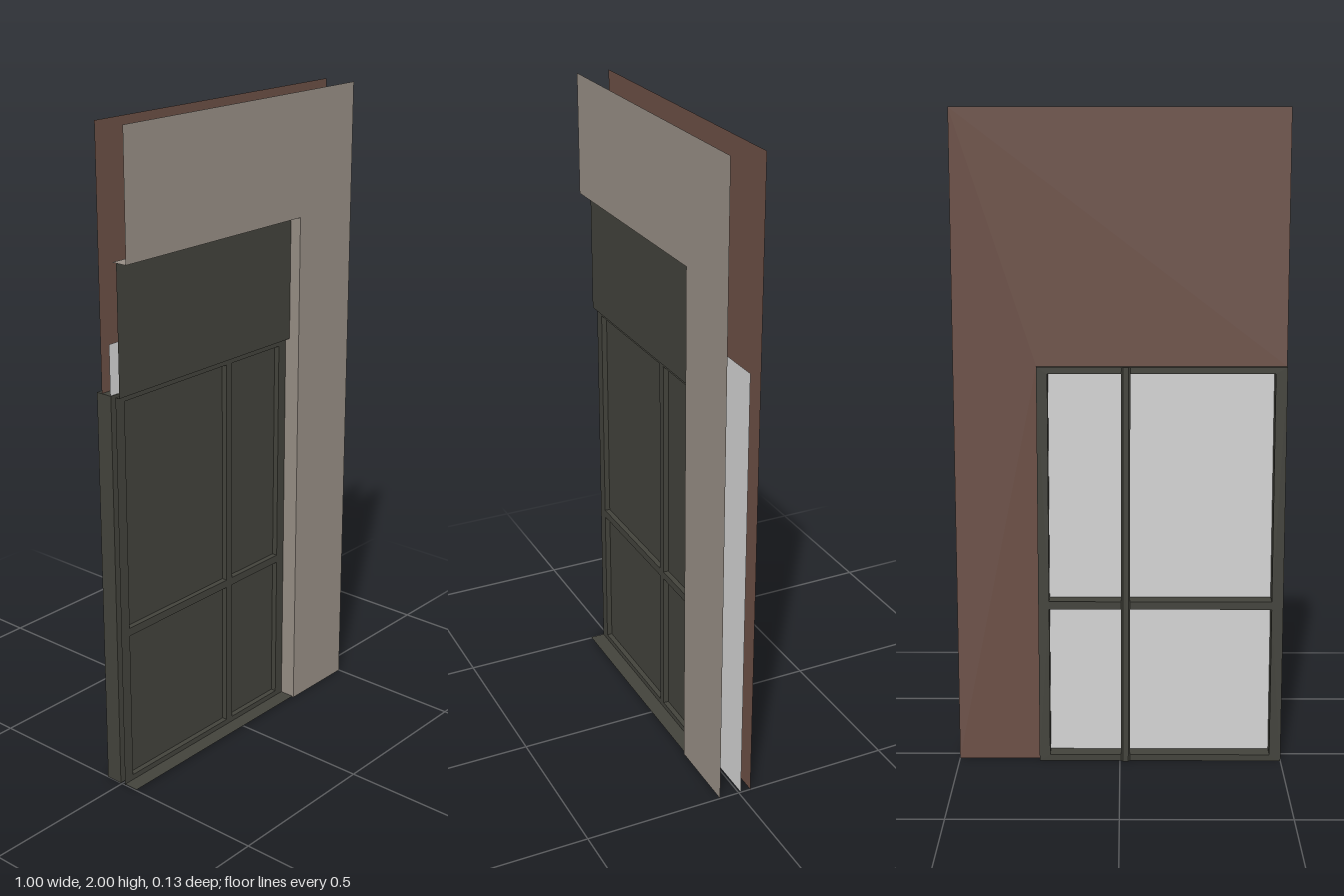
import * as THREE from 'three';

const material = (name, color) =>
  new THREE.MeshStandardMaterial({ name, color, side: THREE.DoubleSide });

// Main extents of the bay and its openings
const LEFT = -0.5, RIGHT = 0.25, HEAD = 1.625, TOP = 1.24;
const Z_WALL = 0.064, Z_FRAME = 0.013, Z_PANE = -0.004, Z_BACK = -0.059;
const COLUMNS = [[-0.465, -0.03], [-0.005, 0.217]];
const ROWS = [[0.02, 0.49], [0.515, 1.22]];

function rectPath(target, x0, x1, y0, y1) {
  target.moveTo(x0, y0);
  target.lineTo(x1, y0);
  target.lineTo(x1, y1);
  target.lineTo(x0, y1);
  target.closePath();
  return target;
}

// Frame outline with four window openings
function frameShape() {
  const shape = rectPath(new THREE.Shape(), LEFT, RIGHT, 0, TOP);
  for (const [x0, x1] of COLUMNS)
    for (const [y0, y1] of ROWS)
      shape.holes.push(rectPath(new THREE.Path(), x0, x1, y0, y1));
  return shape;
}

// Wall sheet with a corner opening reaching the left edge
function wallShape(openingTop) {
  const pts = [[RIGHT, 0], [0.5, 0], [0.5, 2], [LEFT, 2], [LEFT, openingTop], [RIGHT, openingTop]];
  return new THREE.Shape(pts.map(([x, y]) => new THREE.Vector2(x, y)));
}

export function createModel() {
  const group = new THREE.Group();
  group.name = 'wallBayWithWindow';

  const stone = material('warm grey wall', 0x968d84);
  const dark = material('dark frame', 0x42423b);
  const brown = material('brown inner wall', 0x6a4e44);
  const pale = material('pale blind', 0xd2d2d2);

  const add = (name, geometry, mat, x = 0, y = 0, z = 0) => {
    const mesh = new THREE.Mesh(geometry, mat);
    mesh.name = name;
    mesh.position.set(x, y, z);
    group.add(mesh);
    return mesh;
  };
  // Flat sheets facing z, x and y
  const sheetZ = (name, mat, x0, x1, y0, y1, z) =>
    add(name, new THREE.PlaneGeometry(x1 - x0, y1 - y0), mat, (x0 + x1) / 2, (y0 + y1) / 2, z);
  const sheetX = (name, mat, x, y0, y1, z0, z1) =>
    add(name, new THREE.PlaneGeometry(z1 - z0, y1 - y0).rotateY(-Math.PI / 2),
      mat, x, (y0 + y1) / 2, (z0 + z1) / 2);
  const sheetY = (name, mat, x0, x1, y, z0, z1) =>
    add(name, new THREE.PlaneGeometry(x1 - x0, z1 - z0).rotateX(-Math.PI / 2),
      mat, (x0 + x1) / 2, y, (z0 + z1) / 2);

  // Outer wall and the returns of its opening
  add('outerWall', new THREE.ShapeGeometry(wallShape(HEAD)), stone, 0, 0, Z_WALL);
  sheetX('jambReveal', stone, RIGHT, 0, HEAD, Z_FRAME, Z_WALL);
  sheetY('headReveal', stone, LEFT, RIGHT, HEAD, Z_FRAME, Z_WALL);

  // Inner wall
  add('innerWall', new THREE.ShapeGeometry(wallShape(TOP)).rotateY(Math.PI).scale(-1, 1, 1),
    brown, 0, 0, -0.04);

  // Panel over the window and the sill below it
  sheetZ('upperPanel', dark, LEFT, RIGHT, TOP, HEAD - 0.001, 0.028);
  sheetY('panelUnderside', dark, LEFT, RIGHT, TOP, Z_FRAME, 0.028);
  sheetY('sill', dark, LEFT, RIGHT, 0.003, Z_FRAME, 0.06);

  // Front face of the frame with recessed dark panes
  add('frameFront', new THREE.ShapeGeometry(frameShape()), dark, 0, 0, Z_FRAME);
  for (const [x0, x1] of COLUMNS) {
    for (const [y0, y1] of ROWS) {
      sheetZ('pane', dark, x0, x1, y0, y1, Z_PANE);
      for (const x of [x0, x1]) sheetX('paneSide', dark, x, y0, y1, Z_PANE, Z_FRAME);
      for (const y of [y0, y1]) sheetY('paneEdge', dark, x0, x1, y, Z_PANE, Z_FRAME);
    }
  }

  // Pale blind closing the bay behind the panes
  sheetZ('blind', pale, LEFT, 0.5, 0, 1.39, -0.007);

  // Deep frame on the room side
  add('frameBack', new THREE.ExtrudeGeometry(frameShape(),
    { depth: -0.005 - Z_BACK, bevelEnabled: false }), dark, 0, 0, Z_BACK);

  // Chamfered cover strip on the back of the mullion
  const strip = new THREE.Shape([[-0.031, 0], [-0.004, 0], [-0.009, 0.006], [-0.026, 0.006]]
    .map(([x, y]) => new THREE.Vector2(x, y)));
  add('mullionStrip', new THREE.ExtrudeGeometry(strip, { depth: TOP, bevelEnabled: false })
    .rotateX(-Math.PI / 2), dark, 0, 0, Z_BACK);

  return group;
}
